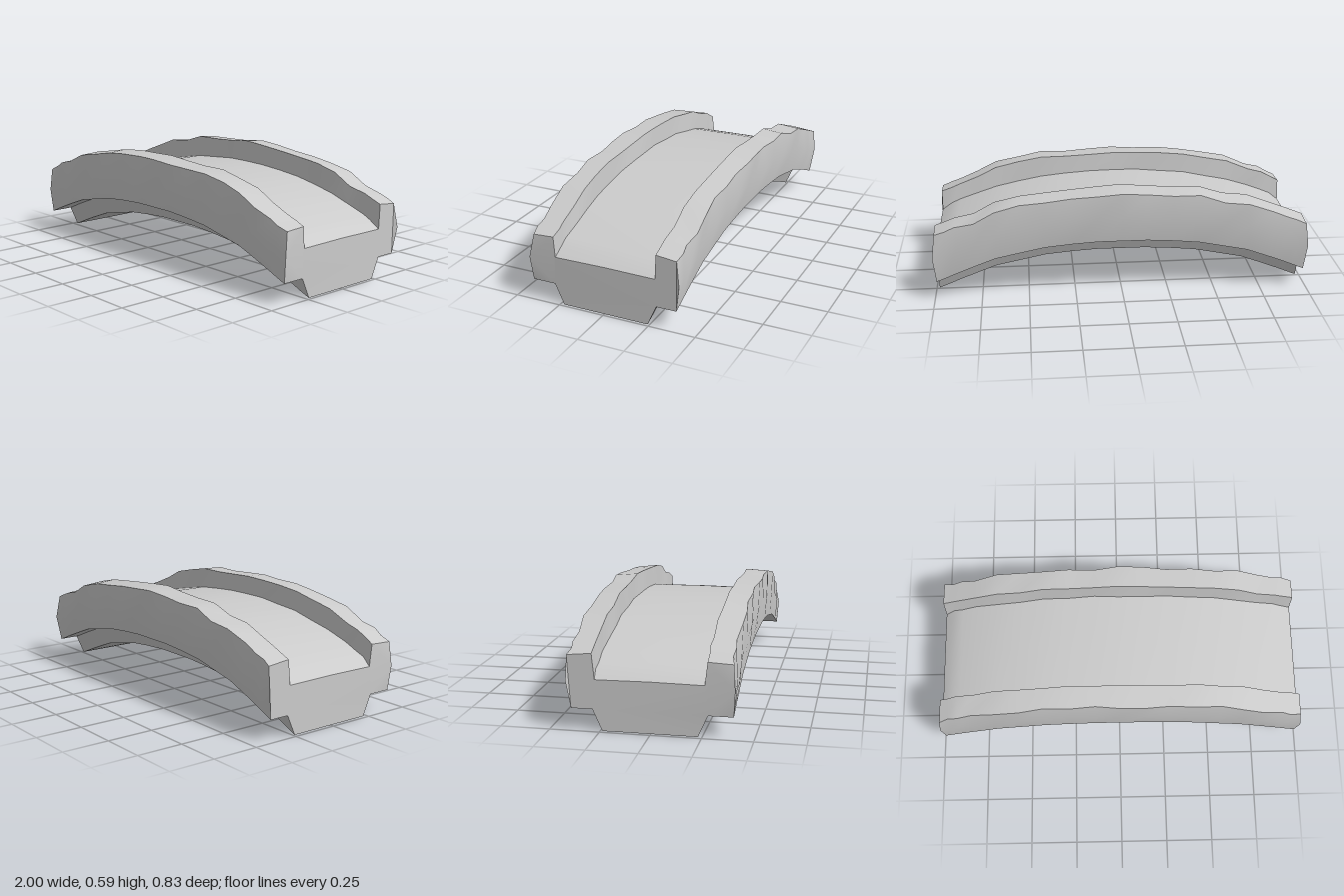
import * as THREE from 'three';
import { toCreasedNormals } from 'three/addons/utils/BufferGeometryUtils.js';

// linear interpolation through [x, y] points
function sample(points, x) {
  for (let i = 1; i < points.length; i++) {
    const [x0, y0] = points[i - 1], [x1, y1] = points[i];
    if (x <= x1) return y0 + (y1 - y0) * (x - x0) / (x1 - x0);
  }
  return points[points.length - 1][1];
}

const mirror = half => [...half.slice().reverse().map(([x, y]) => [-x, y]), ...half];
const underside = mirror([[0.17, 0.2], [0.4, 0.18], [0.67, 0.125], [0.85, 0.058], [0.98, 0.003]]);
const deck = mirror([[0.1, 0.475], [0.4, 0.45], [0.67, 0.395], [0.85, 0.335], [0.93, 0.3], [0.98, 0.26]]);
const backTop = [[-0.98, 0.39], [-0.88, 0.43], [-0.8, 0.46], [-0.67, 0.51], [-0.55, 0.52], [-0.41, 0.565],
  [-0.2, 0.57], [0, 0.59], [0.2, 0.575], [0.4, 0.555], [0.54, 0.54], [0.67, 0.51], [0.78, 0.45], [0.88, 0.43], [0.98, 0.39]];
const frontTop = [[-0.98, 0.375], [-0.88, 0.43], [-0.8, 0.45], [-0.67, 0.505], [-0.5, 0.535], [-0.35, 0.565],
  [0, 0.575], [0.25, 0.56], [0.42, 0.56], [0.54, 0.535], [0.67, 0.505], [0.78, 0.45], [0.88, 0.41], [0.98, 0.37]];
const stations = [-0.98, -0.93, -0.88, -0.8, -0.67, -0.54, -0.41, -0.27, -0.13, 0,
  0.13, 0.27, 0.41, 0.54, 0.67, 0.78, 0.88, 0.93, 0.985];

// stepped bridge cross-section as [z, y, end bulge], from the front underside round to the back
function section(x, i) {
  const b = sample(underside, x), d = sample(deck, x);
  const f = sample(frontTop, x), k = sample(backTop, x);
  const w = [0, 0.012, 0.004, 0.014, 0][i % 5], v = [0.004, 0, 0.012, 0.002, 0.01][i % 5];
  return [
    [0.23, b, 0], [0.278, b + 0.108, 0], [0.402, b + 0.108, 0], [0.412 - v * 0.6, (b + 0.108 + f) / 2, 0.015],
    [0.402 - w, f - 0.006, 0], [0.277 - v * 0.4, f, 0], [0.262 + w * 0.5, d, 0],
    [0, d + 0.003, 0],
    [-0.275 - w * 0.5, d, 0], [-0.288, k, 0], [-0.412 + w, k - 0.012, 0],
    [-0.418 + v * 0.6, (b + 0.108 + k) / 2, 0.015], [-0.395, b + 0.108, 0], [-0.288, b + 0.108, 0], [-0.24, b, 0]
  ];
}

function loft() {
  const positions = [], index = [], last = stations.length - 1;
  const rings = stations.map((x, i) => section(x, i));
  const n = rings[0].length;
  rings.forEach((ring, i) => ring.forEach(([z, y, bulge]) => {
    const end = i === 0 ? -bulge : i === last ? bulge : 0;
    positions.push(stations[i] + end, y, z);
  }));
  // long sides
  for (let i = 0; i < last; i++) {
    for (let j = 0; j < n; j++) {
      const a = i * n + j, c = i * n + (j + 1) % n;
      index.push(a, a + n, c + n, a, c + n, c);
    }
  }
  // end faces
  for (const i of [0, last]) {
    const outline = rings[i].map(([z, y]) => new THREE.Vector2(z, y));
    for (const [a, b, c] of THREE.ShapeUtils.triangulateShape(outline, [])) {
      const [p, q, r] = [outline[a], outline[b], outline[c]];
      const ccw = q.clone().sub(p).cross(r.clone().sub(p)) > 0;
      const o = i * n;
      // counter-clockwise in (z, y) faces -x
      if (ccw === (i === 0)) index.push(o + a, o + b, o + c);
      else index.push(o + a, o + c, o + b);
    }
  }
  const geometry = new THREE.BufferGeometry();
  geometry.setAttribute('position', new THREE.Float32BufferAttribute(positions, 3));
  geometry.setIndex(index);
  return toCreasedNormals(geometry, 0.6);
}

export function createModel() {
  const group = new THREE.Group();
  group.name = 'archedBridge';
  const span = new THREE.Mesh(loft(), new THREE.MeshStandardMaterial({ color: 0xcccccc }));
  span.name = 'bridgeSpan';
  group.add(span);
  return group;
}
